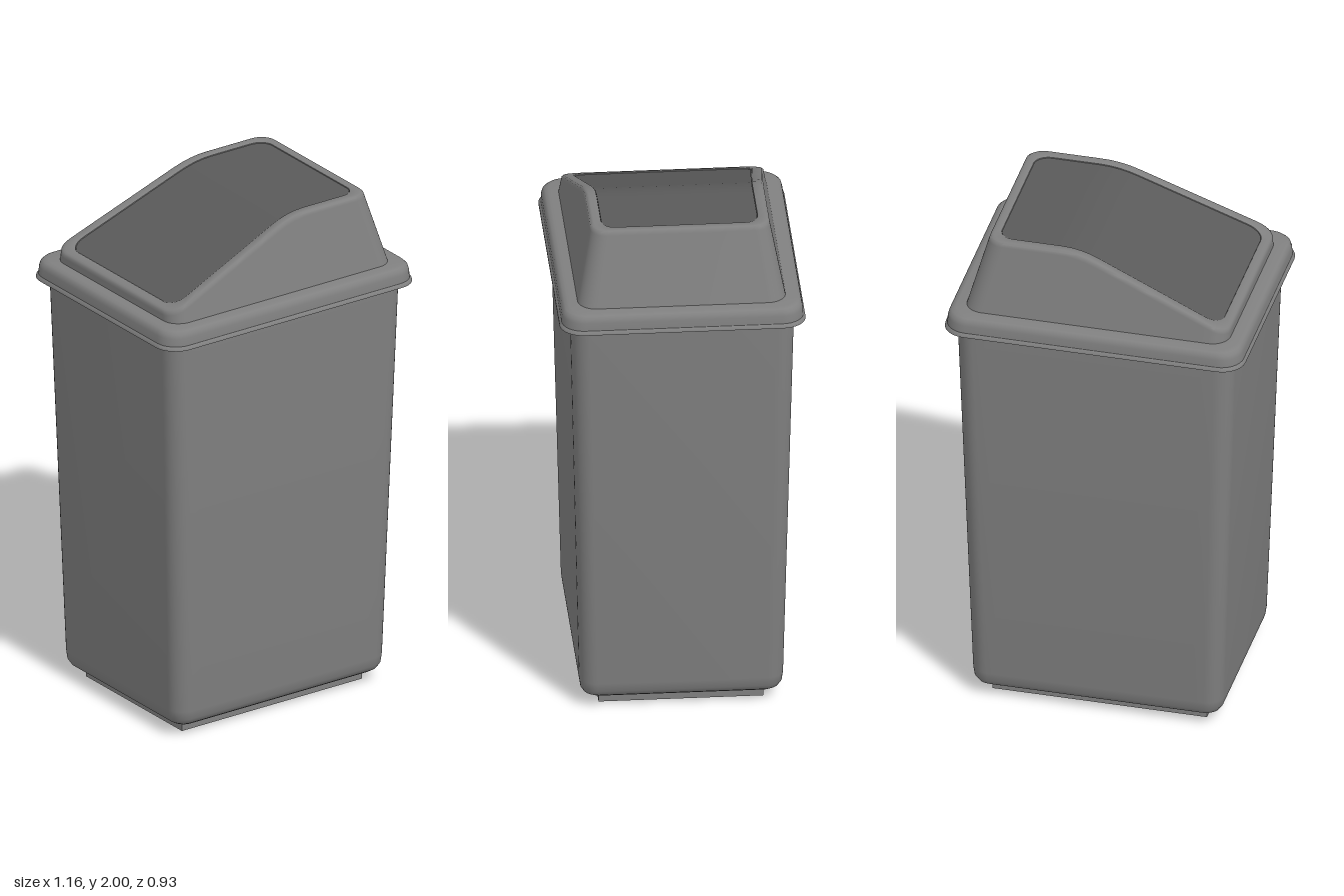
import * as THREE from 'three';
import { toCreasedNormals } from 'three/addons/utils/BufferGeometryUtils.js';

const CORNER = 8, EDGE = 20;

// Rounded rectangle in x/z, counterclockwise from above, with subdivided long edges
function outline(hx, hz, r) {
  const pts = [];
  const signs = [[1, -1], [-1, -1], [-1, 1], [1, 1]];
  signs.forEach(([sx, sz], q) => {
    for (let i = 0; i <= CORNER; i++) {
      const a = (q + i / CORNER) * Math.PI / 2;
      pts.push([sx * (hx - r) + r * Math.cos(a), sz * (hz - r) - r * Math.sin(a)]);
    }
    if (q % 2 === 0) {
      for (let i = 1; i < EDGE; i++) {
        pts.push([sx * (hx - r) * (1 - 2 * i / EDGE), sz * hz]);
      }
    }
  });
  return pts;
}

const ring = (hx, hz, r, y) => outline(hx, hz, r).map(([x, z]) => [x, y, z]);

// Skin over a list of rings, going up the outside
function loft(rings, crease = 0.6) {
  const n = rings[0].length, index = [];
  for (let k = 0; k < rings.length - 1; k++) {
    for (let i = 0; i < n; i++) {
      const a = k * n + i, b = k * n + (i + 1) % n;
      index.push(a, b, b + n, a, b + n, a + n);
    }
  }
  const g = new THREE.BufferGeometry();
  g.setAttribute('position', new THREE.Float32BufferAttribute(rings.flat(2), 3));
  g.setIndex(index);
  return toCreasedNormals(g, crease);
}

// Roof line of the hood: a slope easing into a level top
function roof(x) {
  const slope = 1.76 + 0.415 * (x + 0.5), d = 2 - slope, k = 0.03;
  return 2 - (d > k ? d : d < -k ? 0 : (d + k) * (d + k) / (4 * k));
}

const HOOD_Y = 1.71;
// Hood wall point at a given height: right side and both flanks lean inwards
function lean(x, z, y) {
  const h = (y - HOOD_Y) / 0.29;
  return [x - 0.08 * h * (x + 0.51) / 1.02, y, z * (1 - 0.145 * h)];
}

export function createModel() {
  const grey = new THREE.MeshStandardMaterial({ color: 0x808080 });
  grey.name = 'bin grey';
  const dark = new THREE.MeshStandardMaterial({ color: 0x5a5a5a });
  dark.name = 'flap dark grey';
  const group = new THREE.Group();
  const add = (name, geometry, material) => {
    const mesh = new THREE.Mesh(geometry, material);
    mesh.name = name;
    group.add(mesh);
  };

  // Foot plinth
  add('foot', new THREE.BoxGeometry(0.83, 0.045, 0.62).translate(0, 0.0225, 0), grey);

  // Tapered bin with rounded lower edge
  add('binBody', loft([
    ring(0.41, 0, 0, 0.036),
    ring(0.425, 0.325, 0.03, 0.036),
    ring(0.45, 0.35, 0.045, 0.043),
    ring(0.468, 0.368, 0.055, 0.055),
    ring(0.48, 0.379, 0.06, 0.075),
    ring(0.485, 0.384, 0.065, 0.11),
    ring(0.538, 0.422, 0.07, 1.68),
  ]), grey);

  // Overhanging lid rim, hollow below, with a small flared lip
  add('lidRim', loft([
    ring(0.53, 0.415, 0.07, 1.68),
    ring(0.562, 0.445, 0.08, 1.68),
    ring(0.565, 0.448, 0.08, 1.64),
    ring(0.58, 0.463, 0.09, 1.64),
    ring(0.579, 0.462, 0.09, 1.647),
    ring(0.572, 0.455, 0.085, 1.655),
    ring(0.57, 0.453, 0.085, 1.685),
    ring(0.566, 0.449, 0.083, 1.7),
    ring(0.557, 0.44, 0.08, 1.71),
    ring(0.543, 0.426, 0.075, 1.714),
    ring(0.48, 0.36, 0.06, 1.714),
  ]), grey);

  // Hood: walls rise to the roof line, then turn in to a rim around the opening
  const base = outline(0.51, 0.392, 0.07);
  const crown = base.map(([x, z]) => {
    let y = 1.9;
    for (let i = 0; i < 12; i++) y = roof(lean(x, z, y)[0]);
    return lean(x, z, y);
  });
  const wall = (drop) => base.map(([x, z], i) => lean(x, z, crown[i][1] - drop));
  const inset = (s, drop) => crown.map(([x, , z]) => {
    const px = -0.038 + (x + 0.038) * (1 - 0.075 * s);
    return [px, roof(px) - drop, z * (1 - 0.12 * s)];
  });
  add('hood', loft([
    wall(0).map((p, i) => [base[i][0], HOOD_Y, base[i][1]]),
    wall(0.018),
    wall(0.007),
    inset(0.12, 0.001),
    inset(0.3, 0),
    inset(0.9, 0),
    inset(1, 0.003),
    inset(1.02, 0.016),
  ], 0.75), grey);

  // Flap filling the opening, following the roof line
  const edge = inset(1.04, 0.006);
  add('flap', loft([
    inset(1.04, 0.016),
    edge,
    edge.map(([x, y, z]) => [x, y, z * 0.5]),
    edge.map(([x, y]) => [x, y, 0]),
  ]), dark);

  return group;
}
